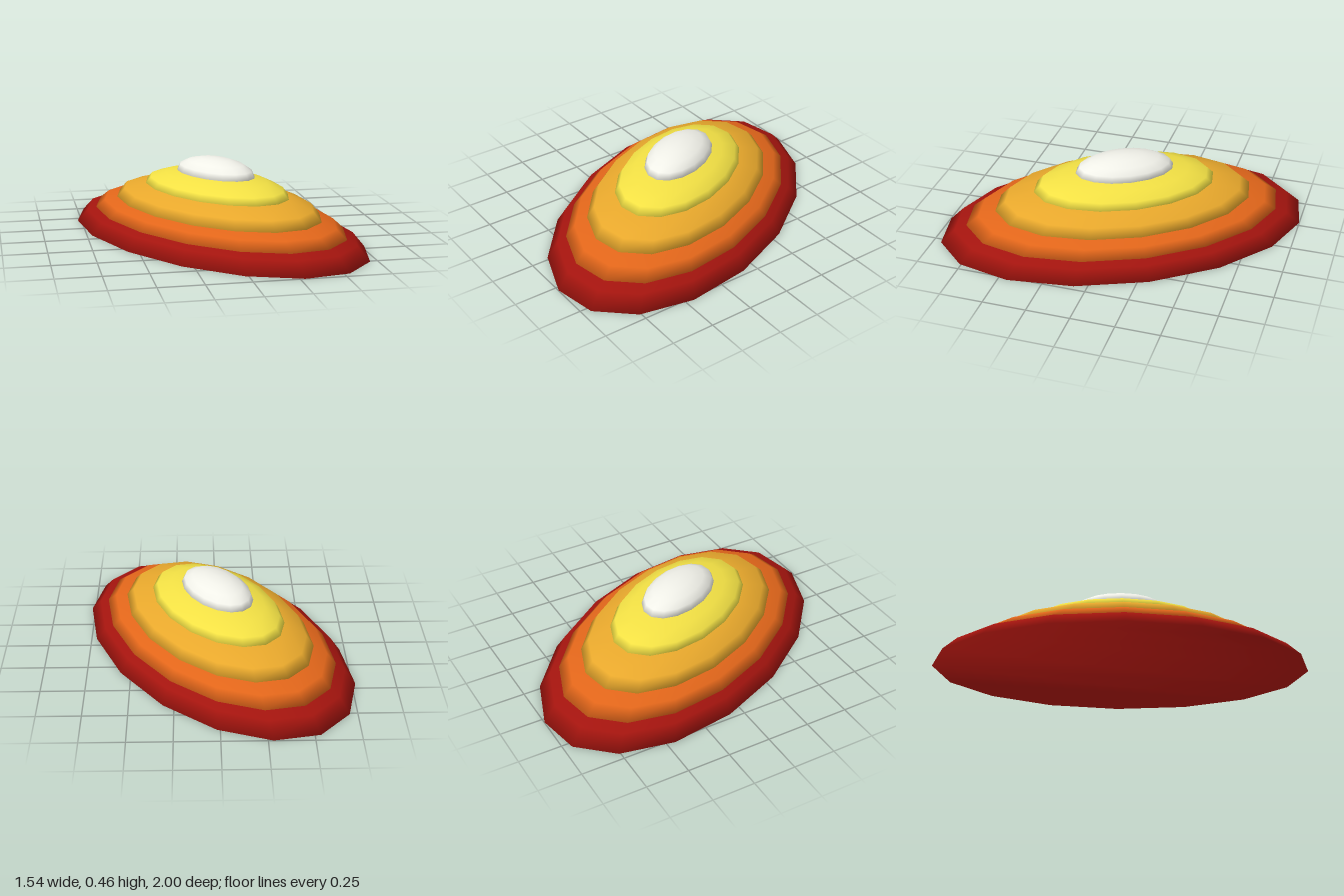
import * as THREE from 'three';

const SIDES = 16, RINGS = 4;

// Low elliptical dome with a flat underside; smooth normals run round the rim
function domeGeometry(a, b, h) {
  const pos = [], idx = [];
  const at = (j, i) => j * SIDES + (i % SIDES);
  for (let j = 0; j < RINGS; j++) {
    const e = (j / RINGS) * Math.PI / 2;
    for (let i = 0; i < SIDES; i++) {
      const t = (i / SIDES) * Math.PI * 2;
      pos.push(a * Math.cos(e) * Math.sin(t), h * Math.sin(e), b * Math.cos(e) * Math.cos(t));
    }
  }
  const pole = RINGS * SIDES;
  pos.push(0, h, 0);

  for (let i = 0; i < SIDES; i++) {
    for (let j = 0; j < RINGS - 1; j++) {
      idx.push(at(j, i), at(j, i + 1), at(j + 1, i + 1), at(j, i), at(j + 1, i + 1), at(j + 1, i));
    }
    idx.push(at(RINGS - 1, i), at(RINGS - 1, i + 1), pole);
  }
  // underside: strips parallel to one diameter
  for (const s of [1, 1 + SIDES / 2]) {
    for (let k = 0; k < SIDES / 4; k++) {
      const p = s + k, q = s + SIDES / 2 - k;
      idx.push(at(0, p), at(0, q), at(0, q - 1));
      if (p + 1 < q - 1) idx.push(at(0, p), at(0, q - 1), at(0, p + 1));
    }
  }

  const geo = new THREE.BufferGeometry();
  geo.setAttribute('position', new THREE.Float32BufferAttribute(pos, 3));
  geo.setIndex(idx);
  geo.computeVertexNormals();
  // rim normals point outward and slightly down
  const n = new THREE.Vector3();
  for (let i = 0; i < SIDES; i++) {
    const t = (i / SIDES) * Math.PI * 2;
    n.set(Math.sin(t) / a, 0, Math.cos(t) / b).normalize().setY(-0.3).normalize();
    geo.attributes.normal.setXYZ(i, n.x, n.y, n.z);
  }
  return geo;
}

export function createModel() {
  const group = new THREE.Group();
  group.name = 'layeredDome';

  // name, size relative to the base, base height, dome height, color
  const layers = [
    ['redBaseLayer', 1, 0, 0.196, 0xa3140e],
    ['orangeLayer', 0.86, 0.097, 0.13, 0xe2661a],
    ['goldLayer', 0.702, 0.172, 0.138, 0xe8a82c],
    ['yellowLayer', 0.495, 0.267, 0.107, 0xf2e044],
    ['whiteCap', 0.266, 0.363, 0.092, 0xf0f0e8],
  ];
  for (const [name, s, y, h, color] of layers) {
    const mesh = new THREE.Mesh(
      domeGeometry(0.64 * s, 1.09 * s, h),
      new THREE.MeshStandardMaterial({ color })
    );
    mesh.name = name;
    mesh.position.y = y;
    mesh.rotation.y = 0.51;
    group.add(mesh);
  }
  return group;
}
